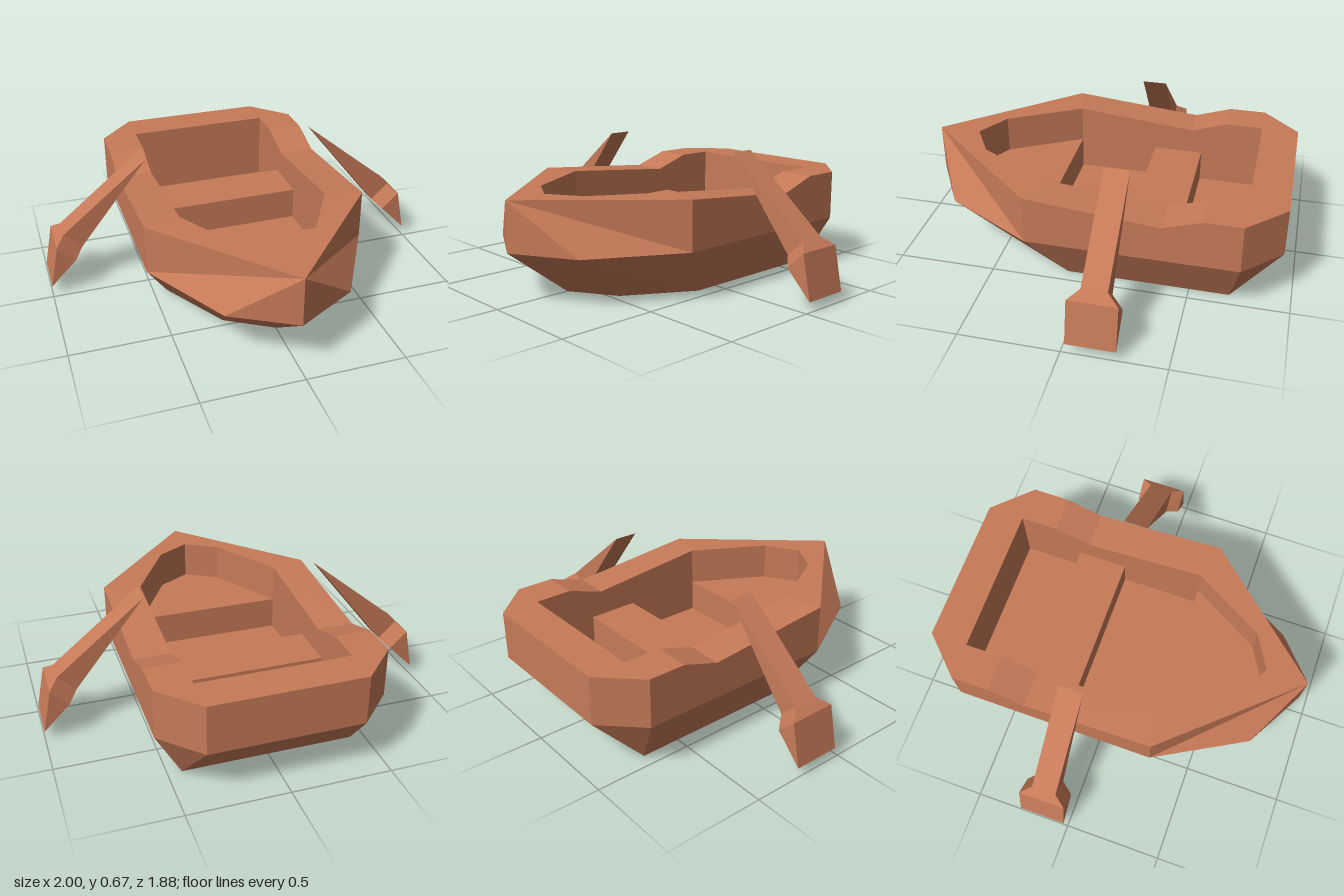
import * as THREE from 'three';

const wood = new THREE.MeshStandardMaterial({ color: 0xc67a58 });
wood.name = 'wood';

// Flat-shaded surface lofted through rows of points; mirror adds the -x half.
function loft(rows, mirror) {
  const out = [];
  const area = new THREE.Triangle();
  const tri = (a, b, c) => {
    area.set(new THREE.Vector3(...a), new THREE.Vector3(...b), new THREE.Vector3(...c));
    if (area.getArea() < 1e-6) return;
    out.push(...a, ...b, ...c);
    if (mirror) for (const [x, y, z] of [a, c, b]) out.push(-x, y, z);
  };
  for (let r = 0; r < rows.length - 1; r++) {
    const a = rows[r], b = rows[r + 1];
    for (let i = 0; i < a.length - 1; i++) {
      tri(a[i], a[i + 1], b[i]);
      tri(a[i + 1], b[i + 1], b[i]);
    }
  }
  const g = new THREE.BufferGeometry();
  g.setAttribute('position', new THREE.Float32BufferAttribute(out, 3));
  g.computeVertexNormals();
  return g;
}

function part(name, geometry) {
  const m = new THREE.Mesh(geometry, wood);
  m.name = name;
  return m;
}

const FLOOR = 0.14, SEAT = 0.31;

// Hull half: each row runs from the bow along the +x side to the stern centre.
function hullGeometry() {
  const bottom = [[0, 0, 0.6], [0.23, 0, 0.46], [0.43, 0, 0.12], [0.43, 0, -0.37],
    [0.43, 0, -0.55], [0.43, 0, -0.7], [0.43, 0, -0.7], [0, 0, -0.7]];
  const chine = [[0, 0.255, 0.935], [0.31, 0.255, 0.76], [0.565, 0.255, 0.3], [0.565, 0.255, -0.37],
    [0.565, 0.255, -0.56], [0.565, 0.255, -0.75], [0.38, 0.255, -0.94], [0, 0.255, -0.94]];
  const rim = [[0, 0.505, 0.935], [0, 0.505, 0.935], [0.565, 0.505, 0.3], [0.565, 0.443, -0.37],
    [0.565, 0.505, -0.56], [0.565, 0.505, -0.75], [0.38, 0.505, -0.94], [0, 0.505, -0.94]];
  const inner = [[0, 0.505, 0.72], [0.17, 0.505, 0.62], [0.38, 0.505, 0.25], [0.38, 0.443, -0.37],
    [0.38, 0.505, -0.56], [0.38, 0.505, -0.75], [0.38, 0.505, -0.75], [0, 0.505, -0.75]];
  const keel = bottom.map(([, y, z]) => [0, y, z]);
  const floor = inner.map(([x, , z]) => [x, FLOOR, z]);
  const floorCentre = floor.map(([, y, z]) => [0, y, z]);
  return loft([keel, bottom, chine, rim, inner, floor, floorCentre], true);
}

// Raised platform filling the pointed bow.
function bowDeckGeometry() {
  const s = new THREE.Shape([[-0.38, -0.25], [-0.17, -0.62], [0, -0.72], [0.17, -0.62], [0.38, -0.25]]
    .map(([x, y]) => new THREE.Vector2(x, y)));
  return new THREE.ExtrudeGeometry(s, { depth: SEAT - FLOOR, bevelEnabled: false })
    .rotateX(-Math.PI / 2).translate(0, FLOOR, 0);
}

// Oar: wedge shaft, flared shoulder and a blade that tapers to an edge.
function oarGeometry(side) {
  const z0 = -0.14;
  const sections = [ // upper x, y, lower x, y, half width
    [0.465, 0.67, 0.465, 0.67, 0.0625],
    [0.91, 0.31, 0.82, 0.225, 0.0625],
    [0.955, 0.27, 0.865, 0.185, 0.12],
    [1, 0.05, 1, 0.05, 0.12],
  ];
  const rows = sections.map(([ux, uy, lx, ly, w]) => {
    const ring = [[ux, uy, z0 + w], [ux, uy, z0 - w], [lx, ly, z0 - w], [lx, ly, z0 + w], [ux, uy, z0 + w]];
    const placed = ring.map(([x, y, z]) => [x * side, y, z]);
    return side > 0 ? placed.reverse() : placed;
  });
  return loft(rows, false);
}

export function createModel() {
  const boat = new THREE.Group();
  boat.name = 'rowingBoat';
  boat.add(part('hull', hullGeometry()));
  boat.add(part('bowDeck', bowDeckGeometry()));
  const bench = part('bench', new THREE.BoxGeometry(0.76, SEAT - FLOOR, 0.26));
  bench.position.set(0, (SEAT + FLOOR) / 2, -0.3);
  boat.add(bench);
  boat.add(part('leftOar', oarGeometry(1)), part('rightOar', oarGeometry(-1)));
  return boat;
}
